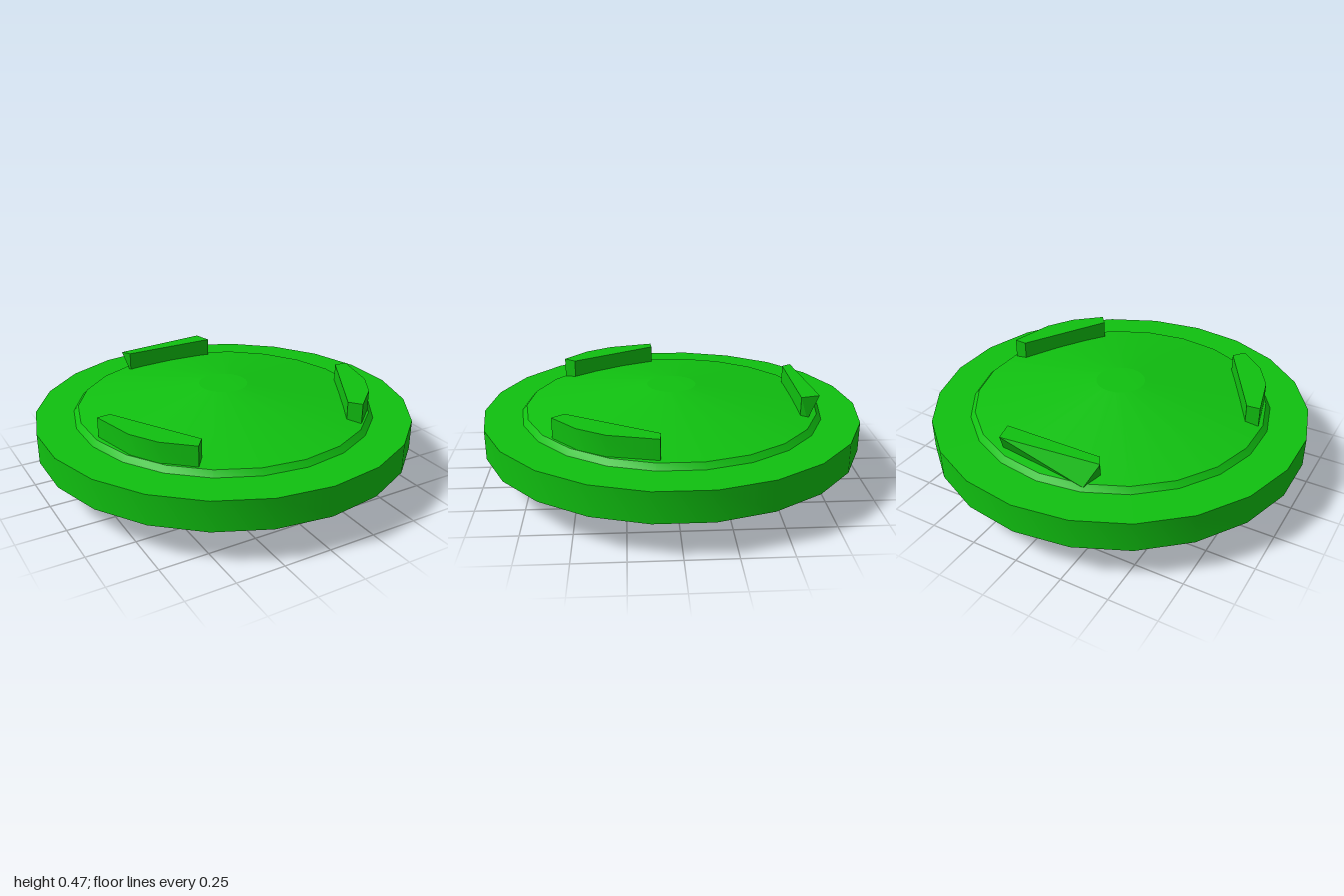
import * as THREE from 'three';
import { toCreasedNormals } from 'three/addons/utils/BufferGeometryUtils.js';
import { ConvexGeometry } from 'three/addons/geometries/ConvexGeometry.js';

const material = new THREE.MeshStandardMaterial({ color: 0x10c010 });
const SIDES = 22;
const TAB_BASE = 0.36, TAB_TOP = 0.478;

function addPart(group, name, geometry, crease = 0.5) {
  const mesh = new THREE.Mesh(toCreasedNormals(geometry, crease), material);
  mesh.name = name;
  group.add(mesh);
}

// Turned part from [radius, height] pairs, listed upwards along the outside
function turned(profile) {
  return new THREE.LatheGeometry(profile.map(([r, y]) => new THREE.Vector2(r, y)), SIDES);
}

export function createModel() {
  const model = new THREE.Group();
  model.name = 'lid';

  // Shallow bowl underneath
  addPart(model, 'underside', turned([[0, 0.005], [0.3, 0.014], [0.57, 0.04], [0.75, 0.08], [1, 0.185]]));

  // Upright rim with its flat ledge
  addPart(model, 'rim', turned([[1, 0.185], [1, 0.342], [0.79, 0.342]]));

  // Bevelled step and low cone with a small flat centre
  addPart(model, 'raisedStep', turned([[0.8, 0.342], [0.775, 0.37]]));
  addPart(model, 'topCone', turned([[0.775, 0.37], [0.13, 0.475], [0, 0.477]]), 0.1);

  // Two mirrored locking tabs with curved outer walls
  const outline = [[0.75, 0.09], [0.68, 0.085], [0.417, 0.54], [0.465, 0.6], [0.605, 0.475], [0.69, 0.335]];
  for (const [side, name] of [[1, 'leftTab'], [-1, 'rightTab']]) {
    const shape = new THREE.Shape(outline.map(([x, z]) => new THREE.Vector2(side * x, -z)));
    const tab = new THREE.ExtrudeGeometry(shape, { depth: TAB_TOP - TAB_BASE, bevelEnabled: false });
    tab.rotateX(-Math.PI / 2).translate(0, TAB_BASE, 0);
    addPart(model, name, tab);
  }

  // Wedge-shaped back tab, its rear wall twisted between the ends
  const wedge = [
    [0.235, TAB_TOP, -0.75], [-0.29, TAB_TOP, -0.7], [-0.26, TAB_TOP, -0.65], [0.26, TAB_TOP, -0.65],
    [0.27, TAB_BASE, -0.685], [-0.23, TAB_BASE, -0.755], [-0.26, TAB_BASE, -0.65], [0.26, TAB_BASE, -0.65],
  ];
  addPart(model, 'backTab', new ConvexGeometry(wedge.map((p) => new THREE.Vector3(...p))), 0.1);

  return model;
}
